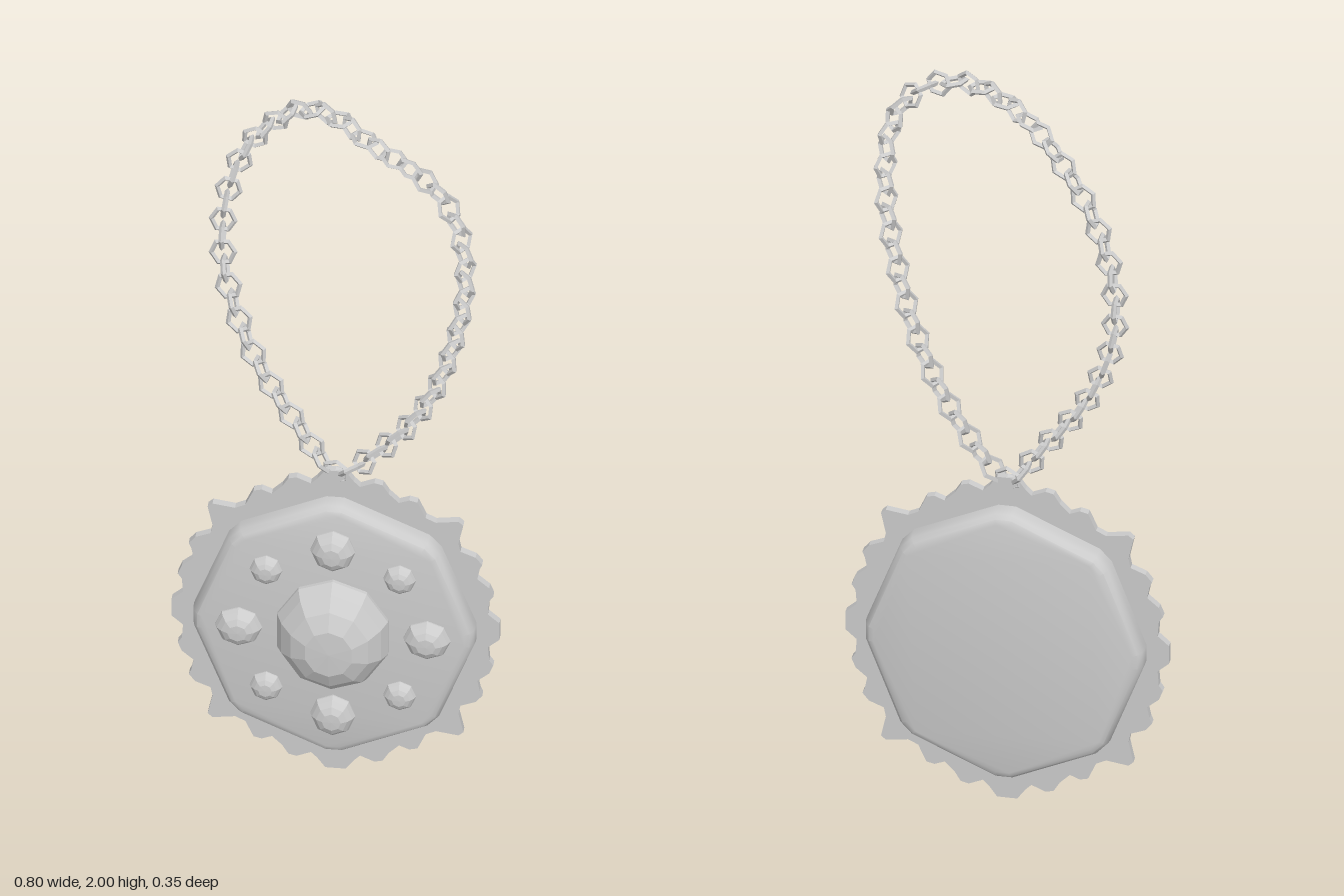
import * as THREE from 'three';
import { toCreasedNormals } from 'three/addons/utils/BufferGeometryUtils.js';

const CY = 0.455; // height of the medallion centre

export function createModel() {
  const root = new THREE.Group();
  const smooth = new THREE.MeshStandardMaterial({ color: 0xcccccc });
  const faceted = new THREE.MeshStandardMaterial({ color: 0xcccccc, flatShading: true });
  const add = (geometry, material, name, parent = root) => {
    const mesh = new THREE.Mesh(geometry, material);
    mesh.name = name;
    parent.add(mesh);
    return mesh;
  };

  // Thin toothed plate: one quadrant of the outline, mirrored to all four
  const quad = [
    [0.4, 0.025], [0.372, 0.05], [0.375, 0.09], [0.385, 0.105], [0.375, 0.13], [0.346, 0.155],
    [0.352, 0.185], [0.358, 0.2], [0.342, 0.22], [0.305, 0.235], [0.3, 0.26], [0.312, 0.315],
    [0.3, 0.326], [0.245, 0.318], [0.22, 0.33], [0.2, 0.375], [0.18, 0.38], [0.155, 0.37],
    [0.13, 0.395], [0.115, 0.42], [0.095, 0.425], [0.06, 0.41], [0.045, 0.425], [0.025, 0.453],
  ];
  const back = [...quad].reverse();
  const outline = [
    ...quad,
    ...back.map(([x, y]) => [-x, y]),
    ...quad.map(([x, y]) => [-x, -y]),
    ...back.map(([x, y]) => [x, -y]),
  ].map(([x, y]) => new THREE.Vector2(x, y));
  const plate = new THREE.ExtrudeGeometry(new THREE.Shape(outline), { depth: 0.02, bevelEnabled: false });
  add(plate, faceted, 'toothedPlate').position.set(0, CY, -0.01);

  // Bevelled octagonal body with slightly blunted corners
  const corners = [];
  for (let i = 0; i < 8; i++) {
    for (const d of [-0.05, 0.05]) {
      const a = (i * Math.PI) / 4 + d;
      corners.push(new THREE.Vector2(0.32 * Math.cos(a), 0.35 * Math.sin(a)));
    }
  }
  const body = new THREE.ExtrudeGeometry(new THREE.Shape(corners), {
    depth: 0.055, bevelThickness: 0.035, bevelSize: 0.025, bevelSegments: 3,
  });
  add(toCreasedNormals(body, 0.6), smooth, 'medallionBody').position.set(0, CY, -0.03);

  // Faceted domed studs
  const profile = [[1, -0.1], [1, 0.1], [0.9, 0.42], [0.7, 0.75], [0.42, 0.97], [0, 1]]
    .map(([r, h]) => new THREE.Vector2(r, h));
  const stud = (name, x, y, rx, ry, height, sides) => {
    const g = new THREE.LatheGeometry(profile, sides);
    g.rotateX(Math.PI / 2);
    const mesh = add(g, faceted, name);
    mesh.scale.set(rx, ry, height);
    mesh.position.set(x, CY + y, 0.06);
  };
  stud('centreStud', 0, 0, 0.142, 0.16, 0.095, 10);
  for (const s of [-1, 1]) {
    stud('largeStud', 0, s * 0.25, 0.055, 0.059, 0.037, 8);
    stud('largeStud', s * 0.23, 0, 0.058, 0.055, 0.037, 8);
    for (const t of [-1, 1]) stud('smallStud', s * 0.163, t * 0.177, 0.04, 0.042, 0.026, 8);
  }

  // Bail joining plate and chain
  const bail = add(new THREE.TorusGeometry(0.022, 0.008, 4, 8), faceted, 'bail');
  bail.position.set(0, 0.885, 0);

  // Chain: hexagonal links, each turned a quarter from the last, along a slanted loop
  const path = new THREE.CatmullRomCurve3([
    [0, 0.9, 0], [-0.09, 1.01, -0.02], [-0.215, 1.2, -0.07], [-0.285, 1.4, -0.12],
    [-0.288, 1.58, -0.14], [-0.24, 1.75, -0.14], [-0.17, 1.86, -0.115], [-0.09, 1.94, -0.075],
    [0, 1.97, -0.01], [0.1, 1.96, 0.075], [0.19, 1.93, 0.115], [0.27, 1.87, 0.135],
    [0.32, 1.77, 0.15], [0.333, 1.6, 0.145], [0.3, 1.4, 0.12], [0.235, 1.2, 0.085],
    [0.12, 1.01, 0.035],
  ].map((p) => new THREE.Vector3(...p)), true, 'centripetal');
  const chain = new THREE.Group();
  chain.name = 'chain';
  root.add(chain);
  const linkGeometry = new THREE.TorusGeometry(0.029, 0.0065, 4, 6);
  linkGeometry.scale(1, 1.1, 1);
  const count = Math.round(path.getLength() / 0.0468 / 2) * 2;
  for (let i = 0; i < count; i++) {
    const u = i / count;
    const along = path.getTangentAt(u);
    // The chain twists an eighth of a turn as it passes over the top
    const twist = (-Math.PI / 4) * THREE.MathUtils.smoothstep(u, 0.42, 0.62);
    const facing = new THREE.Vector3(Math.sin(twist), 0, Math.cos(twist));
    facing.addScaledVector(along, -facing.dot(along)).normalize();
    const across = new THREE.Vector3().crossVectors(along, facing);
    const link = add(linkGeometry, faceted, 'chainLink', chain);
    link.quaternion.setFromRotationMatrix(new THREE.Matrix4().makeBasis(across, along, facing));
    if (i % 2) link.rotateY(Math.PI / 2);
    link.position.copy(path.getPointAt(u));
  }
  return root;
}
